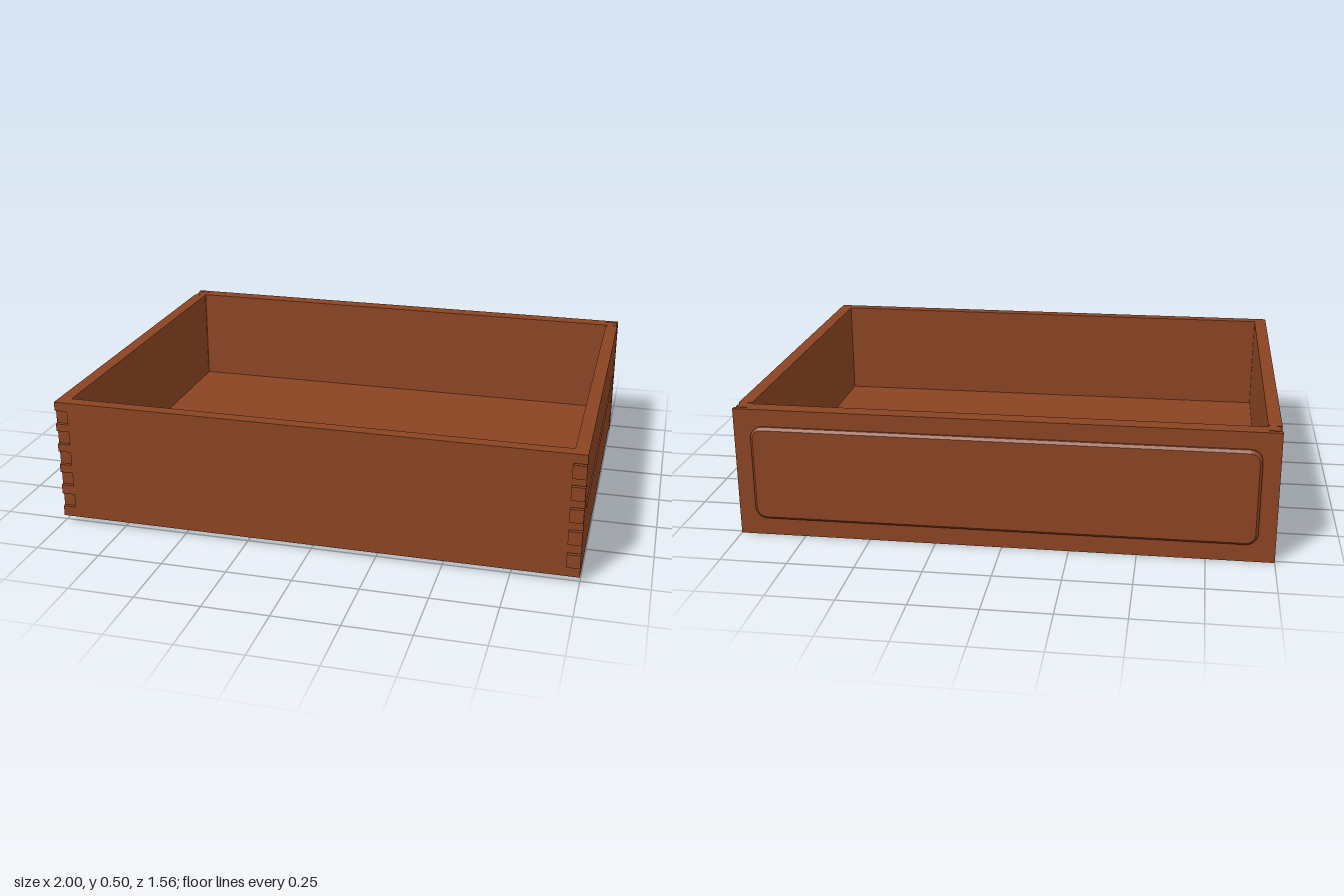
import * as THREE from 'three';

const BOTTOM = 0.025, TOP = 0.5;
const TAILS = [0.092, 0.183, 0.27, 0.355, 0.438];

export function createModel() {
  const wood = new THREE.MeshStandardMaterial({ color: 0x8a4322 });
  wood.name = 'brownWood';
  const model = new THREE.Group();
  model.name = 'drawer';

  const add = (parent, name, geometry) => {
    const mesh = new THREE.Mesh(geometry, wood);
    mesh.name = name;
    parent.add(mesh);
    return mesh;
  };
  // Box given by its minimum and maximum corners
  const box = (parent, name, x0, x1, y0, y1, z0, z1) =>
    add(parent, name, new THREE.BoxGeometry(x1 - x0, y1 - y0, z1 - z0)
      .translate((x0 + x1) / 2, (y0 + y1) / 2, (z0 + z1) / 2));
  // Profile of [z, y] points, extruded between two x positions
  const slab = (parent, name, points, x0, x1, hole) => {
    const shape = new THREE.Shape(points.map(([z, y]) => new THREE.Vector2(z, y)));
    if (hole) shape.holes.push(new THREE.Path(hole.map(([z, y]) => new THREE.Vector2(z, y))));
    const geometry = new THREE.ExtrudeGeometry(shape, { depth: x1 - x0, bevelEnabled: false });
    return add(parent, name, geometry.rotateY(-Math.PI / 2).translate(x1, 0, 0));
  };

  // Side profile with flared dovetails at both ends
  const sideProfile = (frontEnd) => {
    const points = [[-0.69, BOTTOM], [0.722, BOTTOM]];
    for (const y of TAILS) {
      points.push([0.722, y - 0.019], [frontEnd, y - 0.026], [frontEnd, y + 0.026], [0.722, y + 0.019]);
    }
    points.push([0.722, TOP], [-0.69, TOP]);
    for (const y of [...TAILS].reverse()) {
      points.push([-0.69, y + 0.018], [-0.745, y + 0.03], [-0.745, y - 0.03], [-0.69, y - 0.018]);
    }
    return points;
  };
  const groove = [[-0.683, 0.245], [-0.683, 0.28], [0.675, 0.28], [0.675, 0.245]];

  for (const [name, s, frontEnd] of [['leftSide', 1, 0.782], ['rightSide', -1, 0.758]]) {
    const side = new THREE.Group();
    side.name = name;
    model.add(side);
    const span = (a, b) => (s > 0 ? [a, b] : [-b, -a]);
    const profile = sideProfile(frontEnd);
    slab(side, 'innerBoard', profile, ...span(0.95, 0.983));
    slab(side, 'groovedBoard', profile, ...span(0.983, 1), groove);

    // Pins filling the spaces between the tails, front and back
    for (let i = 0; i <= TAILS.length; i++) {
      const first = i === 0, last = i === TAILS.length;
      const low = (w) => (first ? BOTTOM : TAILS[i - 1] + w);
      const high = (w) => (last ? TOP : TAILS[i] - w);
      slab(side, 'frontPin', [
        [0.722, low(0.021)], [0.769, low(0.027)], [0.769, high(0.027)], [0.722, high(0.021)],
      ].reverse(), ...span(0.95, 1));
      slab(side, 'backPin', [
        [-0.74, low(0.033)], [-0.692, low(0.022)], [-0.692, high(0.022)], [-0.74, high(0.033)],
      ], ...span(0.95, 0.994));
    }
  }

  // End boards between the sides
  box(model, 'frontBoard', -0.95, 0.95, BOTTOM, TOP, 0.72, 0.769);
  box(model, 'backBoard', -0.95, 0.95, 0, TOP, -0.745, -0.7);
  box(model, 'backBoardFace', -1, 1, 0, TOP, -0.763, -0.745);
  for (const s of [-1, 1]) {
    box(model, 'backBoardFoot', s > 0 ? 0.95 : -1, s > 0 ? 1 : -0.95, 0, BOTTOM - 0.002, -0.745, -0.7);
  }

  // Recessed floor
  box(model, 'floor', -0.95, 0.95, 0.075, 0.107, -0.7, 0.72);

  // Raised panel with rounded corners and a small bevel
  const w = 0.925, y0 = 0.08, y1 = 0.425, r = 0.035;
  const panel = new THREE.Shape();
  panel.absarc(w - r, y0 + r, r, -Math.PI / 2, 0);
  panel.absarc(w - r, y1 - r, r, 0, Math.PI / 2);
  panel.absarc(-w + r, y1 - r, r, Math.PI / 2, Math.PI);
  panel.absarc(-w + r, y0 + r, r, Math.PI, Math.PI * 1.5);
  add(model, 'raisedPanel', new THREE.ExtrudeGeometry(panel, {
    depth: 0.01, bevelThickness: 0.01, bevelSize: 0.01, bevelSegments: 1, curveSegments: 6,
  }).translate(0, 0, -0.772));

  return model;
}
